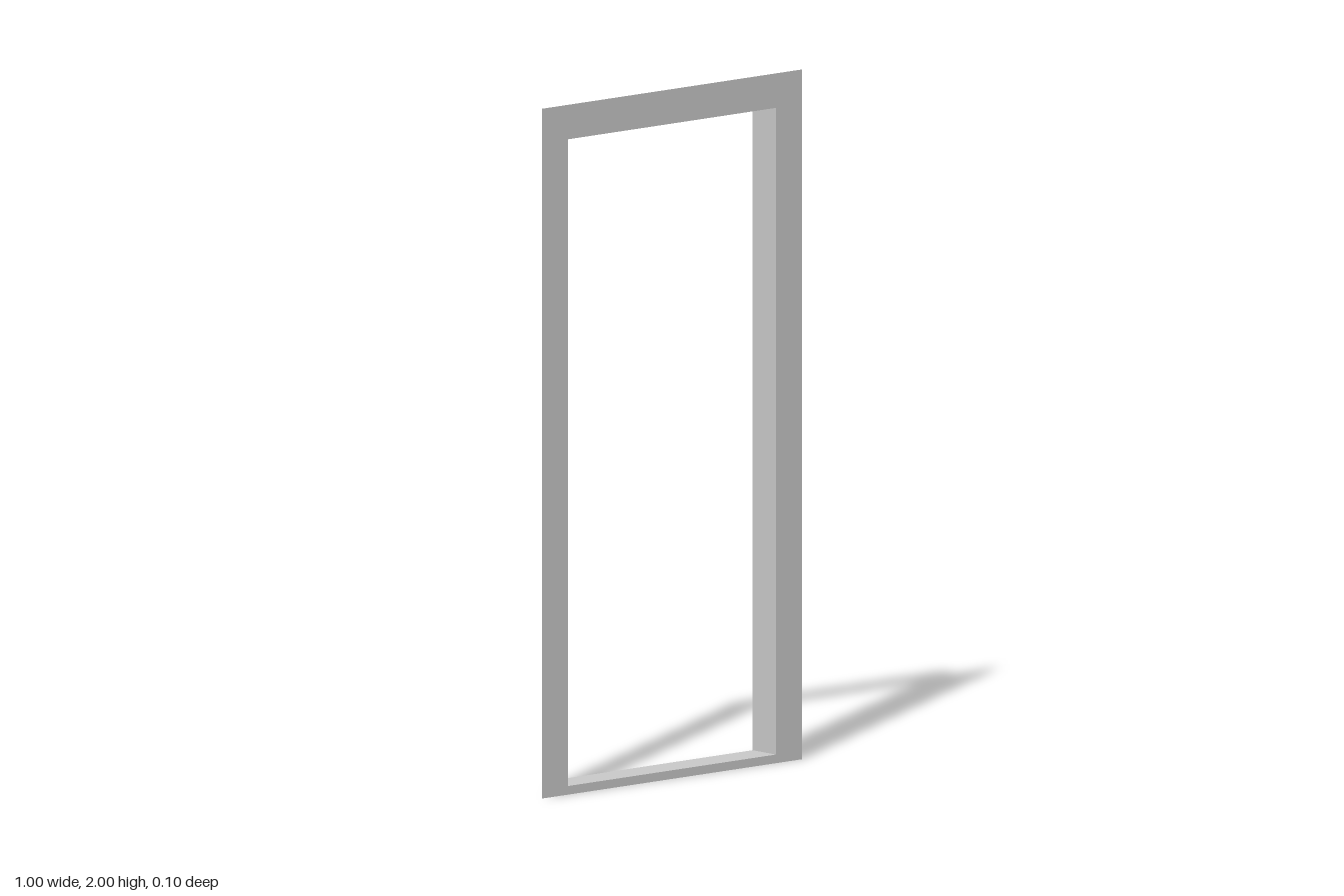
import * as THREE from 'three';

export function createModel() {
  const group = new THREE.Group();
  group.name = 'doorFrame';
  const grey = new THREE.MeshStandardMaterial({ color: 0xcccccc, side: THREE.DoubleSide });
  grey.name = 'light grey';

  const halfWidth = 0.5, height = 2, depth = 0.1;
  const inner = 0.4, sill = 0.025, head = 1.9;

  const rectangle = (Path, x, y0, y1) => new Path([
    new THREE.Vector2(-x, y0), new THREE.Vector2(x, y0),
    new THREE.Vector2(x, y1), new THREE.Vector2(-x, y1),
  ]);

  // Flat trim sheet around the opening
  const outline = rectangle(THREE.Shape, halfWidth, 0, height);
  outline.holes.push(rectangle(THREE.Path, inner, sill, head));
  const trim = new THREE.Mesh(new THREE.ShapeGeometry(outline), grey);
  trim.name = 'frontTrim';
  trim.position.z = depth / 2;
  group.add(trim);

  // Thin sheets lining the opening, facing inwards
  function lining(name, width, tall, x, y, rx, ry) {
    const mesh = new THREE.Mesh(new THREE.PlaneGeometry(width, tall), grey);
    mesh.name = name;
    mesh.position.set(x, y, 0);
    mesh.rotation.set(rx, ry, 0);
    group.add(mesh);
  }
  const middle = (sill + head) / 2;
  lining('leftJamb', depth, head - sill, inner, middle, 0, -Math.PI / 2);
  lining('rightJamb', depth, head - sill, -inner, middle, 0, Math.PI / 2);
  lining('headLining', inner * 2, depth, 0, head, Math.PI / 2, 0);
  lining('sillLining', inner * 2, depth, 0, sill, -Math.PI / 2, 0);

  return group;
}
